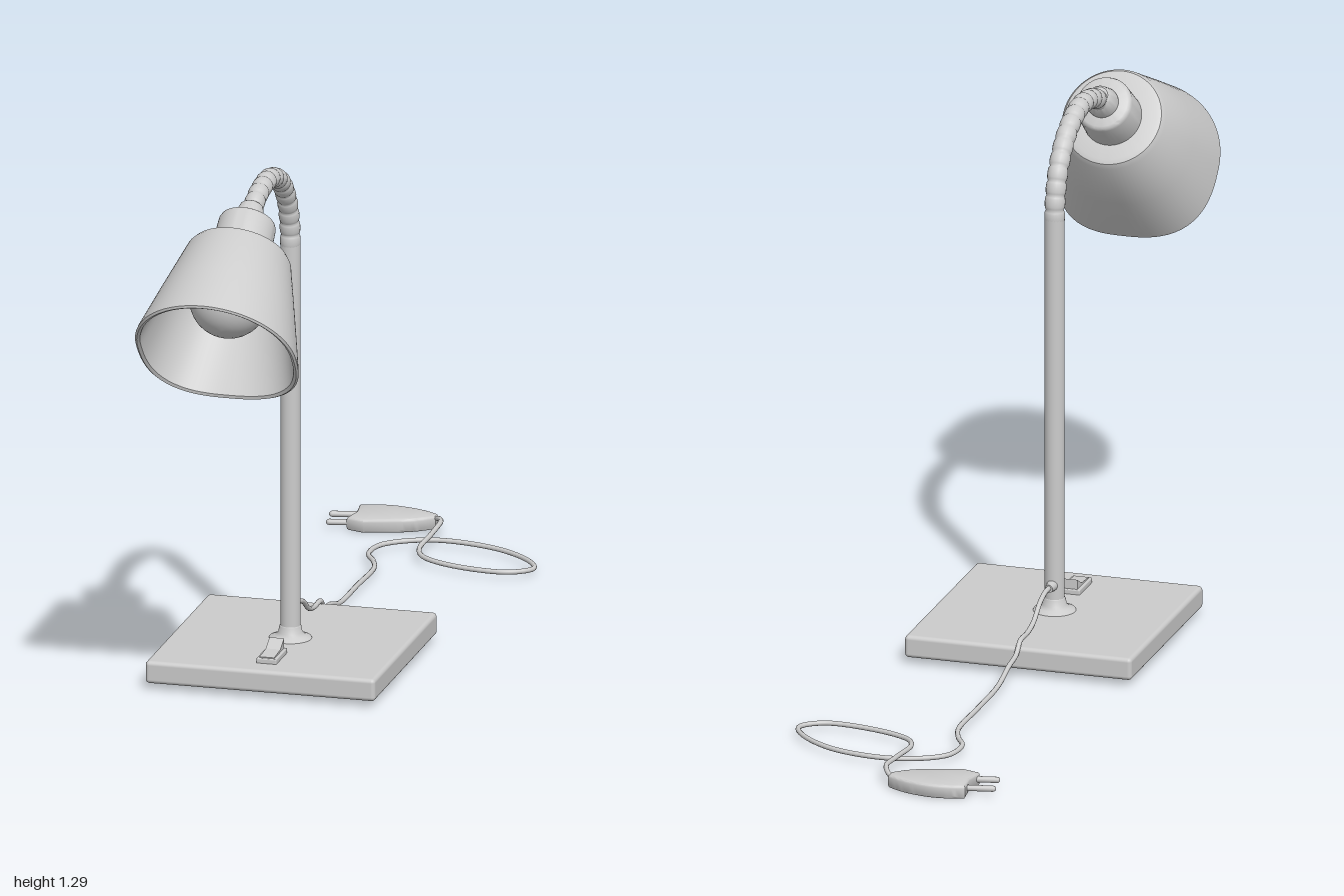
import * as THREE from 'three';
import { toCreasedNormals } from 'three/addons/utils/BufferGeometryUtils.js';
import { RoundedBoxGeometry } from 'three/addons/geometries/RoundedBoxGeometry.js';

const X = -0.047; // the lamp's own centre line
const POLE_Z = 0.2;

const material = new THREE.MeshStandardMaterial({ color: 0xcccccc, side: THREE.DoubleSide });

function part(name, geometry, parent, x = 0, y = 0, z = 0) {
  const mesh = new THREE.Mesh(geometry, material);
  mesh.name = name;
  mesh.position.set(x, y, z);
  parent.add(mesh);
  return mesh;
}

const vectors = (list) => list.map((p) => new THREE.Vector3(...p));

function lathe(points, segments = 48) {
  return new THREE.LatheGeometry(points.map((p) => new THREE.Vector2(...p)), segments);
}

const creasedLathe = (points, segments) => toCreasedNormals(lathe(points, segments), 0.6);

// Tube whose radius swells between ribs along its length
function ribbedTube(curve, radius, ribs) {
  const perRib = 8, radial = 20, rings = ribs * perRib;
  const geometry = new THREE.TubeGeometry(curve, rings, radius, radial);
  const pos = geometry.attributes.position;
  const v = new THREE.Vector3();
  for (let i = 0; i < pos.count; i++) {
    const ring = Math.floor(i / (radial + 1));
    const centre = curve.getPointAt(ring / rings);
    const swell = 0.88 + 0.15 * Math.sqrt(Math.sin(Math.PI * (ring % perRib) / perRib));
    v.fromBufferAttribute(pos, i).sub(centre).multiplyScalar(swell).add(centre);
    pos.setXYZ(i, v.x, v.y, v.z);
  }
  geometry.computeVertexNormals();
  return geometry;
}

// Cone shade whose lower side squares off gradually towards the rim
function shadeGeometry() {
  const length = 0.283;
  const geometry = lathe([
    [0.05, 0], [0.108, 0], [0.119, 0.004], [0.127, 0.016], [0.163, 0.15], [0.195, 0.274],
    [0.196, 0.281], [0.191, 0.285], [0.184, 0.281], [0.15, 0.15], [0.115, 0.022], [0, 0.018],
  ], 72);
  const pos = geometry.attributes.position;
  for (let i = 0; i < pos.count; i++) {
    const x = pos.getX(i), y = pos.getY(i), z = pos.getZ(i);
    const r = Math.hypot(x, z);
    if (z <= 0 || r < 1e-4) continue;
    const n = 2 + 0.7 * Math.min(1, y / length);
    const k = Math.pow(Math.pow(Math.abs(x) / r, n) + Math.pow(z / r, n), -1 / n);
    pos.setXYZ(i, x * k, y, z * k);
  }
  return toCreasedNormals(geometry, 0.6);
}

function buildHead() {
  const head = new THREE.Group();
  head.name = 'lampHead';
  head.position.set(X, 1.158, 0.65);
  head.rotation.x = THREE.MathUtils.degToRad(129.3);
  part('shade', shadeGeometry(), head);
  part('socketCollar', creasedLathe([
    [0, -0.094], [0.06, -0.094], [0.066, -0.09], [0.069, -0.083], [0.072, 0.002],
  ]), head);
  part('neckCap', creasedLathe([
    [0, -0.14], [0.023, -0.14], [0.028, -0.135], [0.038, -0.1], [0.038, -0.09],
  ], 32), head);
  // Bulb: a short neck swelling into a globe
  const bulb = [[0.035, 0.015], [0.036, 0.035], [0.045, 0.045]];
  for (let i = 0; i <= 16; i++) {
    const a = 2.55 - 2.55 * i / 16;
    bulb.push([0.095 * Math.sin(a), 0.128 + 0.095 * Math.cos(a)]);
  }
  part('bulb', lathe(bulb), head);
  return head;
}

function buildSwitch() {
  const group = new THREE.Group();
  group.name = 'powerSwitch';
  group.position.set(X, 0.07, 0.367);
  part('switchHousing', new RoundedBoxGeometry(0.05, 0.014, 0.1, 2, 0.003), group, 0, 0.005, 0);
  // Rocker profile, rising towards the pole
  const profile = new THREE.Shape([
    [-0.043, 0.008], [0.045, 0.008], [0.045, 0.036], [0.012, 0.018], [-0.043, 0.014],
  ].map((p) => new THREE.Vector2(...p)));
  const rocker = new THREE.ExtrudeGeometry(profile, { depth: 0.036, bevelEnabled: false });
  rocker.translate(0, 0, -0.018).rotateY(Math.PI / 2);
  part('rocker', rocker, group);
  return group;
}

function buildPlug() {
  const plug = new THREE.Group();
  plug.name = 'plug';
  // Body outline, drawn as x and -z
  const shape = new THREE.Shape();
  shape.moveTo(-0.195, 0.978);
  shape.quadraticCurveTo(-0.15, 0.996, -0.11, 0.992);
  shape.quadraticCurveTo(-0.05, 0.985, -0.008, 0.955);
  shape.lineTo(-0.008, 0.94);
  shape.quadraticCurveTo(-0.04, 0.905, -0.08, 0.893);
  shape.lineTo(-0.16, 0.868);
  shape.lineTo(-0.197, 0.88);
  shape.lineTo(-0.188, 0.925);
  const body = new THREE.ExtrudeGeometry(shape, {
    depth: 0.018, bevelThickness: 0.008, bevelSize: 0.006, bevelSegments: 3, curveSegments: 10,
  });
  body.rotateX(-Math.PI / 2);
  part('plugBody', toCreasedNormals(body, 0.7), plug, 0, 0.008, 0);
  for (const [x, z] of [[-0.225, -0.945], [-0.215, -0.881]]) {
    const prong = new THREE.CapsuleGeometry(0.0075, 0.065, 4, 12);
    prong.rotateZ(Math.PI / 2).rotateY(0.2);
    part('prong', prong, plug, x, 0.018, z);
  }
  return plug;
}

export function createModel() {
  const lamp = new THREE.Group();
  lamp.name = 'deskLamp';

  // Square base
  part('base', new RoundedBoxGeometry(0.565, 0.055, 0.565, 3, 0.01), lamp, X, 0.0425, 0.193);

  // Pole with a flared foot
  part('pole', new THREE.CylinderGeometry(0.024, 0.024, 0.99, 32), lamp, X, 0.56, POLE_Z);
  part('poleFoot', lathe([
    [0.052, 0.068], [0.05, 0.073], [0.037, 0.077], [0.029, 0.085], [0.026, 0.1], [0.024, 0.102],
  ], 32), lamp, X, 0, POLE_Z);

  // Flexible neck
  const neck = new THREE.CatmullRomCurve3(vectors([
    [X, 1.04, 0.2], [X, 1.09, 0.203], [X, 1.165, 0.229], [X, 1.232, 0.292], [X, 1.266, 0.38],
    [X, 1.267, 0.44], [X, 1.253, 0.505], [X, 1.225, 0.565],
  ]));
  part('flexibleNeck', ribbedTube(neck, 0.024, 15), lamp);

  lamp.add(buildHead(), buildSwitch());

  // Cable leaving the pole, running back and looping to the plug
  const grommet = new THREE.CylinderGeometry(0.01, 0.014, 0.03, 20);
  grommet.rotateX(-Math.PI / 2);
  part('cableGrommet', grommet, lamp, X, 0.137, 0.168);
  const cable = new THREE.CatmullRomCurve3(vectors([
    [X, 0.137, 0.18], [X, 0.138, 0.13], [X, 0.125, 0.085], [X, 0.093, 0.035], [X, 0.082, -0.01],
    [X, 0.08, -0.07], [X, 0.056, -0.1], [X, 0.045, -0.16], [X, 0.024, -0.24], [X, 0.02, -0.4],
    [X, 0.018, -0.55], [-0.064, 0.017, -0.605], [-0.091, 0.017, -0.66], [-0.077, 0.017, -0.74],
    [0.03, 0.018, -0.8], [0.188, 0.017, -0.778], [0.294, 0.017, -0.7], [0.318, 0.017, -0.645],
    [0.268, 0.017, -0.603], [0.135, 0.017, -0.615], [0.045, 0.019, -0.66], [0.02, 0.022, -0.71],
    [0.022, 0.029, -0.82], [0.02, 0.034, -0.905], [-0.008, 0.025, -0.947], [-0.04, 0.018, -0.947],
  ]));
  part('cable', new THREE.TubeGeometry(cable, 300, 0.006, 10), lamp);
  lamp.add(buildPlug());

  return lamp;
}
